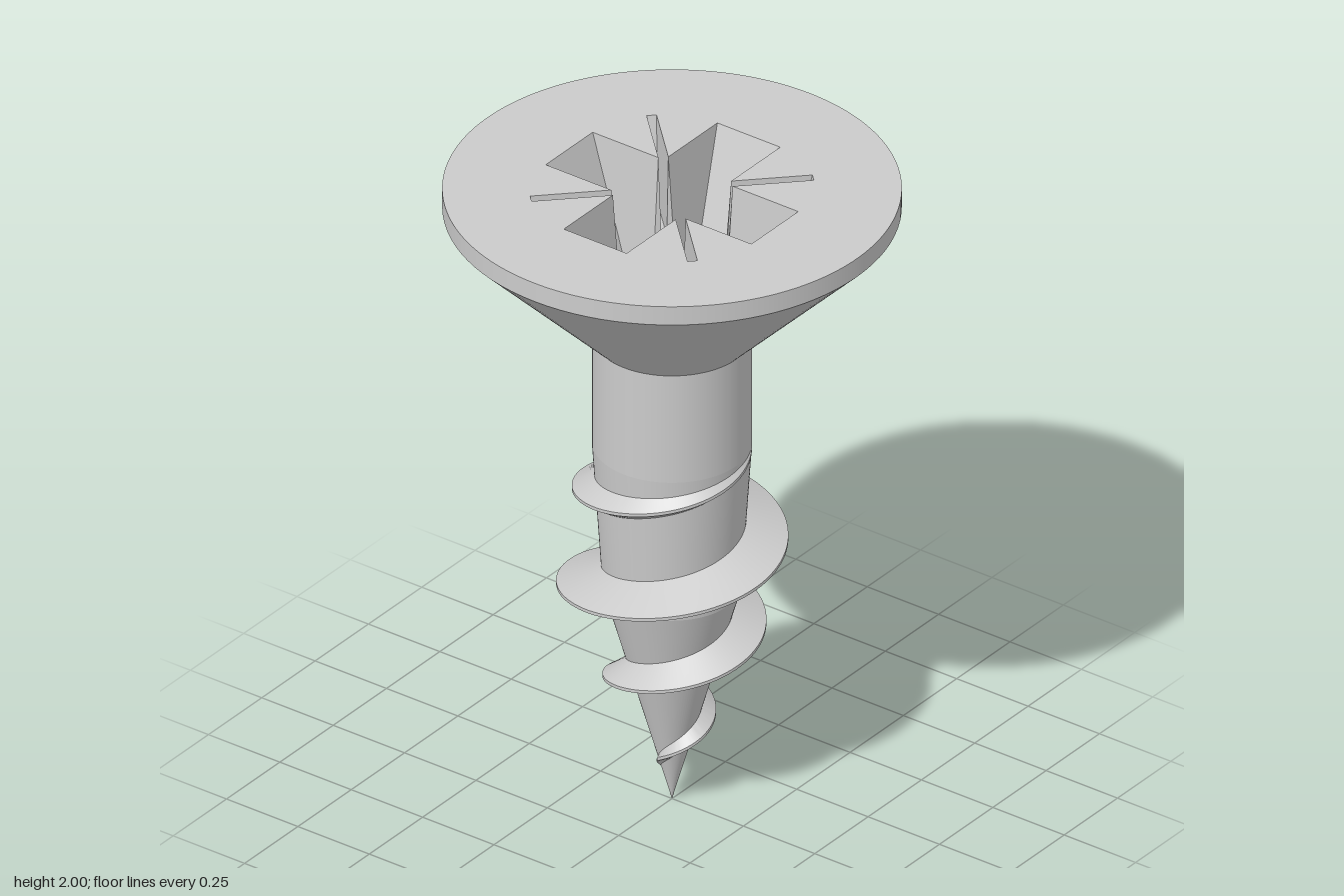
import * as THREE from 'three';
import { toCreasedNormals } from 'three/addons/utils/BufferGeometryUtils.js';

const material = new THREE.MeshStandardMaterial({ color: 0xcccccc });
const HEAD_R = 0.645, TOP = 2, DEPTH = 0.38, SLOT_DEPTH = 0.25, DRILL_R = 0.15;
const SEGMENTS = 96;

// Piecewise linear lookup in [y, radius] pairs
function lookup(table, y) {
  for (let i = 1; i < table.length; i++) {
    const [y0, r0] = table[i - 1], [y1, r1] = table[i];
    if (y <= y1) return r0 + (r1 - r0) * Math.max(0, (y - y0) / (y1 - y0));
  }
  return table[table.length - 1][1];
}

const core = [[0, 0], [0.7, 0.195], [1.17, 0.225], [1.52, 0.225]];
const crest = [[0.09, 0.02], [0.12, 0.036], [0.18, 0.075], [0.31, 0.145], [0.46, 0.215],
  [0.685, 0.32], [0.755, 0.332], [0.83, 0.332], [0.91, 0.32], [1.05, 0.268], [1.18, 0.218]];

// Helical thread: a trapezoid section swept up the core, pitch 0.3
function threadGeometry() {
  const pitch = 0.3, y0 = 0.09, y1 = 1.18, steps = 360;
  const pos = [], index = [];
  for (let i = 0; i <= steps; i++) {
    const y = y0 + (y1 - y0) * i / steps;
    const a = (y - 0.91) / pitch * Math.PI * 2;
    const height = Math.max(0, lookup(crest, y) - lookup(core, y));
    const half = Math.min(0.055, 0.02 + 0.5 * height);
    const root = (h) => Math.max(0, lookup(core, y + h) - 0.008);
    const section = [[root(-half), -half], [lookup(crest, y), -0.005],
      [lookup(crest, y), 0.005], [root(half), half]];
    for (const [r, h] of section) pos.push(r * Math.cos(a), y + h, -r * Math.sin(a));
    if (i === steps) break;
    for (let j = 0; j < 3; j++) {
      const p = i * 4 + j;
      index.push(p, p + 4, p + 1, p + 1, p + 4, p + 5);
    }
  }
  const geo = new THREE.BufferGeometry();
  geo.setAttribute('position', new THREE.Float32BufferAttribute(pos, 3));
  geo.setIndex(index);
  return toCreasedNormals(geo, 0.5);
}

// Point on a slot: distance along the diagonal, sideways offset, depth
function onSlot(r, side, depth) {
  const k = Math.SQRT1_2;
  return new THREE.Vector3((r + side) * k, TOP - depth, (r - side) * k);
}

// One quarter of the recess: an arm along +x and the slot beside it
function recessQuarter() {
  const pos = [];
  const P = (x, z, depth) => new THREE.Vector3(x, TOP - depth, z);
  // Adds a convex polygon turned towards the point "seen"
  const face = (pts, seen) => {
    const n = pts[1].clone().sub(pts[0]).cross(pts[2].clone().sub(pts[0]));
    if (n.dot(seen.clone().sub(pts[0])) < 0) pts = [...pts].reverse();
    for (let i = 1; i < pts.length - 1; i++)
      for (const p of [pts[0], pts[i], pts[i + 1]]) pos.push(p.x, p.y, p.z);
  };
  const inArm = P(0.2, 0, 0.05), axis = P(0, 0, 0.05), inSlot = onSlot(0.25, 0, 0);
  const bx = Math.sqrt(DRILL_R ** 2 - 0.08 ** 2);

  // Arm: sloping end wall and two side walls
  face([P(0.36, 0.11, 0), P(0.36, -0.11, 0), P(0.22, -0.08, DEPTH), P(0.22, 0.08, DEPTH)], inArm);
  for (const s of [1, -1])
    face([P(0.36, 0.11 * s, 0), P(0.13, 0.11 * s, 0), P(bx, 0.08 * s, DEPTH), P(0.22, 0.08 * s, DEPTH)], inArm);

  // Slot: side walls, floor and sloping end
  const w = 0.008;
  const slot = [1, -1].map((s) => ({
    top: s > 0 ? P(0.13, 0.11, 0) : P(0.11, 0.13, 0),
    topEnd: s > 0 ? P(0.293, 0.273, 0) : P(0.273, 0.293, 0),
    end: onSlot(0.34, w * s, SLOT_DEPTH),
    mouth: onSlot(0.155, w * s, SLOT_DEPTH),
    base: s > 0 ? P(bx, 0.08, DEPTH) : P(0.08, bx, DEPTH),
  }));
  const [a, b] = slot;
  for (const q of slot) {
    face([q.top, q.topEnd, q.end, q.mouth], inSlot);
    face([q.top, q.mouth, q.base], axis);
  }
  face([a.mouth, a.end, b.end, b.mouth], inSlot);
  face([a.end, a.topEnd, b.topEnd, b.end], inSlot);
  face([a.mouth, b.mouth, b.base, a.base], axis);

  const geo = new THREE.BufferGeometry();
  geo.setAttribute('position', new THREE.Float32BufferAttribute(pos, 3));
  geo.computeVertexNormals();
  return geo;
}

// Floor of one arm, ending at the round drilled centre
function armFloorGeometry() {
  const angle = Math.asin(0.08 / DRILL_R);
  const shape = new THREE.Shape();
  shape.moveTo(0.22, -0.08);
  shape.lineTo(0.22, 0.08);
  shape.absarc(0, 0, DRILL_R, angle, -angle, true);
  shape.closePath();
  return new THREE.ShapeGeometry(shape, 16).rotateX(-Math.PI / 2).translate(0, TOP - DEPTH, 0);
}

// Flat head top with the cross and slot outline cut out
function headTopGeometry() {
  const shape = new THREE.Shape().absarc(0, 0, HEAD_R, 0, Math.PI * 2, false);
  const quarter = [[0.36, -0.11], [0.36, 0.11], [0.13, 0.11], [0.293, 0.273], [0.273, 0.293], [0.11, 0.13]];
  const outline = [];
  for (let i = 0; i < 4; i++)
    for (const [x, y] of quarter)
      outline.push(new THREE.Vector2(x, y).rotateAround(new THREE.Vector2(), i * Math.PI / 2));
  shape.holes.push(new THREE.Path(outline.reverse()));
  return new THREE.ShapeGeometry(shape, SEGMENTS).rotateX(-Math.PI / 2).translate(0, TOP, 0);
}

export function createModel() {
  const model = new THREE.Group();
  model.name = 'screw';
  const add = (name, geo, parent = model) => {
    const mesh = new THREE.Mesh(geo, material);
    mesh.name = name;
    parent.add(mesh);
    return mesh;
  };
  // Turned sections: [name, lower radius, lower y, upper radius, upper y]
  const sections = [
    ['tip', 0, 0, 0.195, 0.7],
    ['threadedCore', 0.195, 0.7, 0.225, 1.17],
    ['shank', 0.225, 1.17, 0.225, 1.52],
    ['headCone', 0.225, 1.52, HEAD_R, 1.94],
    ['headRim', HEAD_R, 1.94, HEAD_R, TOP],
  ];
  for (const [name, r0, y0, r1, y1] of sections)
    add(name, new THREE.LatheGeometry([new THREE.Vector2(r0, y0), new THREE.Vector2(r1, y1)], SEGMENTS));

  add('thread', threadGeometry());
  add('headTop', headTopGeometry());

  // Driver recess
  const recess = new THREE.Group();
  recess.name = 'driverRecess';
  model.add(recess);
  const walls = recessQuarter(), floor = armFloorGeometry();
  for (let i = 0; i < 4; i++) {
    add('recessWalls', walls, recess).rotation.y = i * Math.PI / 2;
    add('recessFloor', floor, recess).rotation.y = i * Math.PI / 2;
  }
  const drill = [new THREE.Vector2(0, TOP - DEPTH - 0.05), new THREE.Vector2(DRILL_R, TOP - DEPTH)];
  add('drillPoint', new THREE.LatheGeometry(drill.reverse(), 64), recess);
  return model;
}
